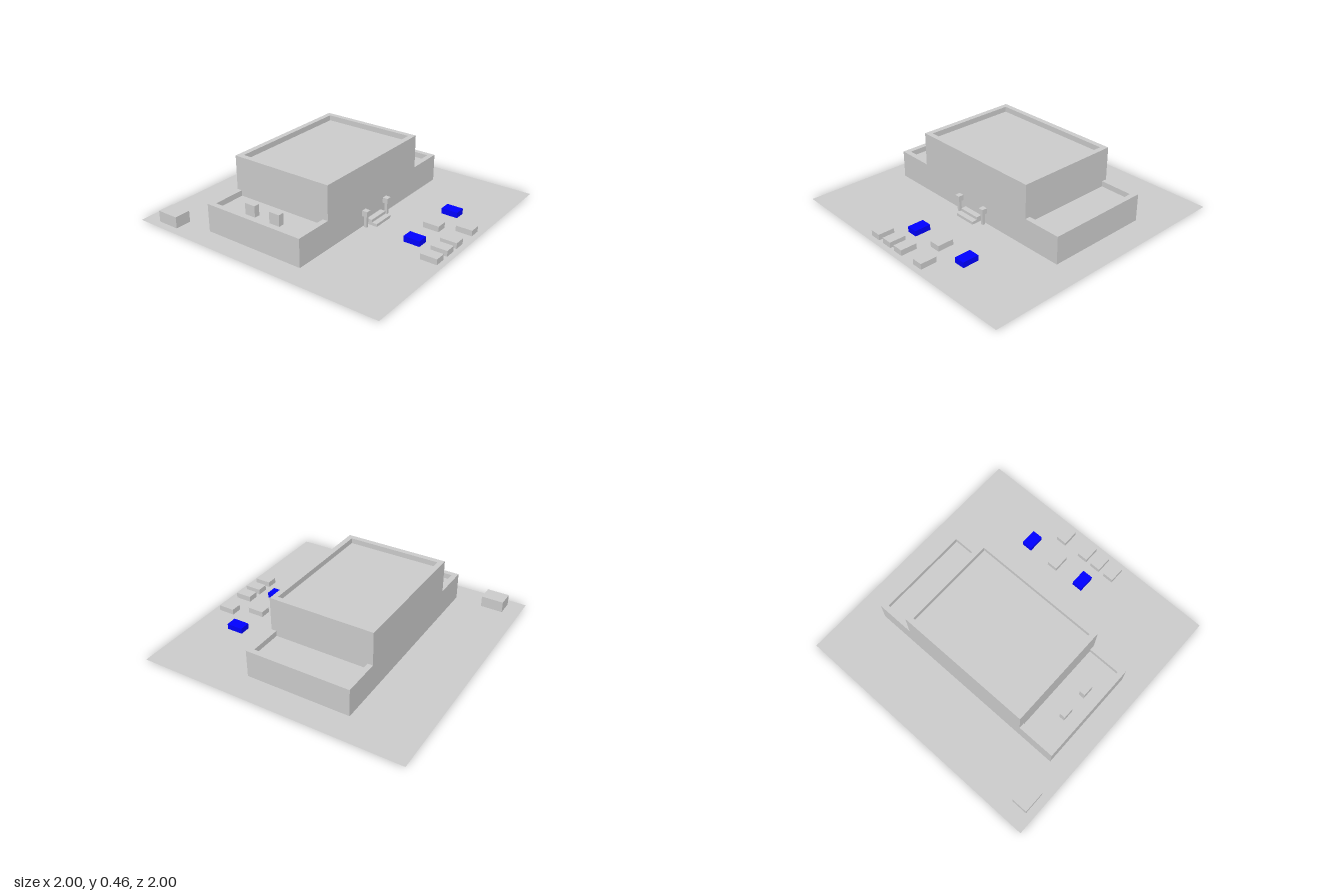
import * as THREE from 'three';

const grey = new THREE.MeshStandardMaterial({ color: 0xcccccc, flatShading: true });
const blue = new THREE.MeshStandardMaterial({ color: 0x0000ff, flatShading: true });
const thin = new THREE.MeshStandardMaterial({ color: 0xcccccc, side: THREE.DoubleSide });

const BACK = -0.5, FRONT = 0.29, RIM = 0.04;

export function createModel() {
  const model = new THREE.Group();

  const add = (name, geometry, material = grey) => {
    const mesh = new THREE.Mesh(geometry, material);
    mesh.name = name;
    model.add(mesh);
    return mesh;
  };

  // Box given by its extents on each axis
  const box = (name, [x0, x1], [y0, y1], [z0, z1], material) =>
    add(name, new THREE.BoxGeometry(x1 - x0, y1 - y0, z1 - z0), material)
      .position.set((x0 + x1) / 2, (y0 + y1) / 2, (z0 + z1) / 2);

  // Flat horizontal sheet
  const sheet = (name, [x0, x1], y, [z0, z1]) =>
    add(name, new THREE.PlaneGeometry(x1 - x0, z1 - z0).rotateX(-Math.PI / 2), thin)
      .position.set((x0 + x1) / 2, y, (z0 + z1) / 2);

  // Plan outline given as [x, z] points, and walls raised from it
  const plan = points => points.map(([x, z]) => new THREE.Vector2(x, -z));
  const walls = (name, outline, height, hole) => {
    const shape = new THREE.Shape(plan(outline));
    if (hole) shape.holes.push(new THREE.Path(plan(hole)));
    add(name, new THREE.ExtrudeGeometry(shape, { depth: height, bevelEnabled: false })
      .rotateX(-Math.PI / 2));
  };
  const rect = (x0, x1, z0, z1) => [[x0, z0], [x0, z1], [x1, z1], [x1, z0]];

  // Ground
  sheet('ground', [-1, 1], 0, [-1, 1]);

  // Tall central block with a parapet around its roof
  const x0 = -0.545, x1 = 0.498, innerZ = [BACK + RIM, FRONT - RIM];
  walls('mainBlockWalls', rect(x0, x1, BACK, FRONT), 0.46,
    rect(x0 + RIM, x1 - RIM, ...innerZ));
  sheet('mainRoof', [x0 + RIM, x1 - RIM], 0.42, innerZ);

  // Low side wings: U-shaped parapets that meet the central block
  for (const [side, near, far] of [['right', x0, -0.833], ['left', x1, 0.787]]) {
    const inner = far - Math.sign(far) * RIM;
    walls(side + 'WingWalls', [
      [near, BACK], [far, BACK], [far, FRONT], [near, FRONT],
      [near, innerZ[1]], [inner, innerZ[1]], [inner, innerZ[0]], [near, innerZ[0]],
    ], 0.208);
    sheet(side + 'WingRoof', [Math.min(near, inner), Math.max(near, inner)], 0.167, innerZ);
  }

  // Vents on the right wing roof
  for (const z of [-0.21, 0]) {
    box('roofVent', [-0.733, -0.69], [0.167, 0.25], [z - 0.042, z + 0.042]);
  }

  // Entrance steps
  box('upperStep', [-0.107, 0.06], [0, 0.042], [FRONT, 0.332]);
  box('lowerStep', [-0.107, 0.06], [0, 0.021], [0.332, 0.373]);

  // Lamp posts on both sides of the steps
  for (const x of [-0.148, 0.102]) {
    box('lampPost', [x - 0.01, x + 0.01], [0, 0.085], [0.302, 0.323]);
    box('lampHead', [x - 0.02, x + 0.02], [0.085, 0.126], [0.292, 0.333]);
  }

  // Utility box in the back corner
  box('utilityBox', [-0.94, -0.817], [0, 0.084], [-0.877, -0.71]);

  // Parked cars in two rows
  const cars = [
    [-0.125, 0.688, blue], [0.122, 0.688, grey], [0.375, 0.688, blue],
    [-0.253, 0.895, grey], [-0.125, 0.895, grey], [-0.002, 0.895, grey], [0.207, 0.895, grey],
  ];
  for (const [x, z, material] of cars) {
    box('parkedCar', [x - 0.041, x + 0.041], [0, 0.042], [z - 0.062, z + 0.062], material);
  }

  return model;
}
